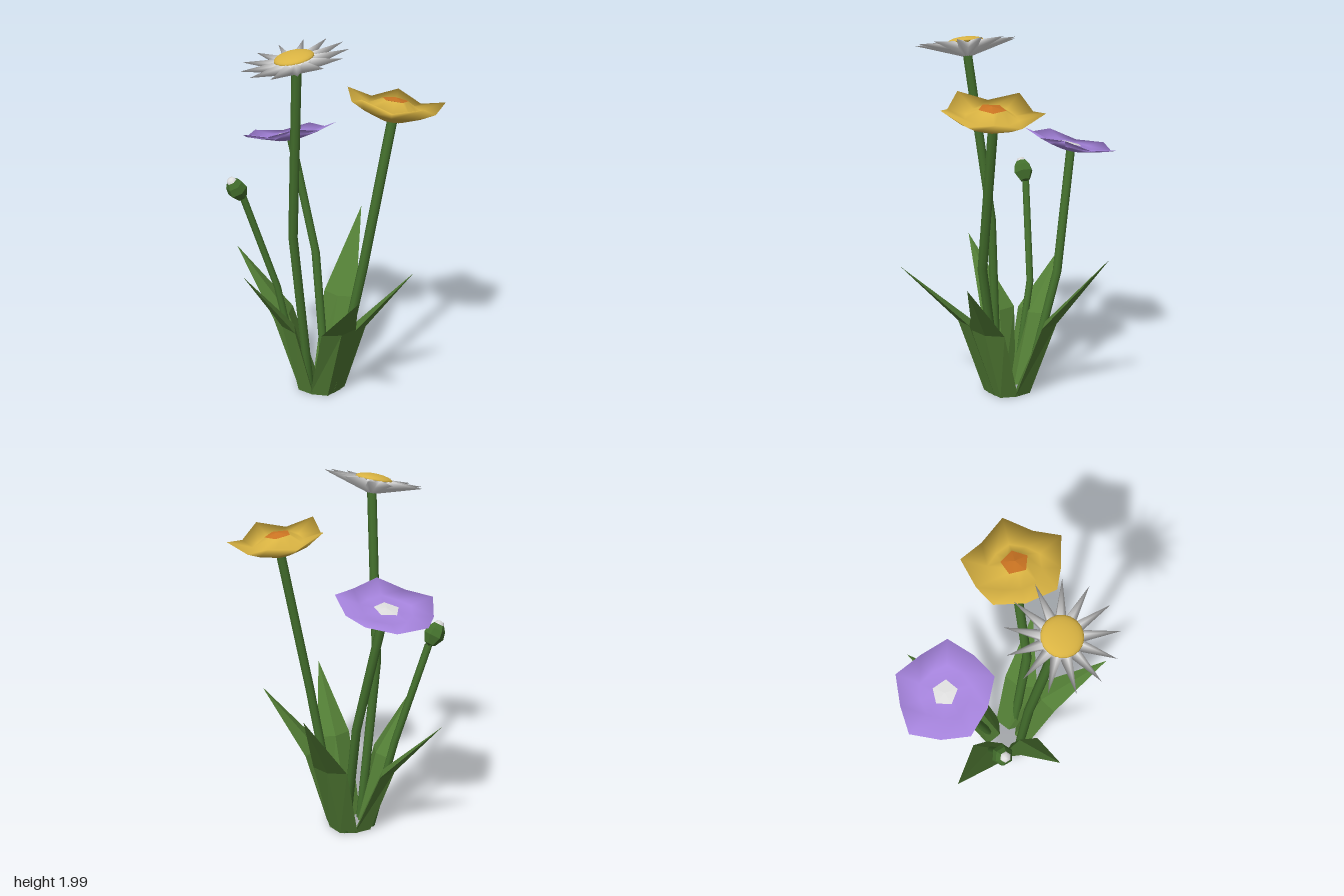
import * as THREE from 'three';

const paint = (name, color, flatShading = false) => {
  const m = new THREE.MeshStandardMaterial({ color, side: THREE.DoubleSide, flatShading });
  m.name = name;
  return m;
};

// Closed surface through rings that all have the same number of points
function loft(rings) {
  const n = rings[0].length, idx = [];
  for (let i = 0; i < rings.length - 1; i++) {
    for (let j = 0; j < n; j++) {
      const k = (j + 1) % n, a = i * n + j, b = i * n + k;
      idx.push(a, a + n, b, b, a + n, b + n);
    }
  }
  const g = new THREE.BufferGeometry();
  g.setAttribute('position', new THREE.Float32BufferAttribute(rings.flat(2), 3));
  g.setIndex(idx);
  g.computeVertexNormals();
  return g;
}

// Ring whose points alternate between a petal tip and the notch beside it
function petalRing(petals, phase, [rTip, yTip, rNotch = rTip, yNotch = yTip]) {
  return Array.from({ length: petals * 2 }, (_, i) => {
    const a = phase + (i * Math.PI) / petals;
    const [r, y] = i % 2 ? [rNotch, yNotch] : [rTip, yTip];
    return [r * Math.cos(a), y, r * Math.sin(a)];
  });
}

export function createModel() {
  const root = new THREE.Group();
  root.name = 'flowerClump';
  const leafGreen = paint('leafGreen', 0x527d35, true);
  const stemGreen = paint('stemGreen', 0x44702d);
  const budGreen = paint('budGreen', 0x44702d, true);
  const white = paint('white', 0xdedede);
  const purple = paint('purple', 0xa583dc);
  const yellow = paint('yellow', 0xd9b342);
  const orange = paint('orange', 0xcb7422);

  const add = (parent, name, geometry, material) => {
    const m = new THREE.Mesh(geometry, material);
    m.name = name;
    parent.add(m);
    return m;
  };

  // Leaves: thick pointed blades, each given by its base angle in degrees, its bend and its tip
  const cx = -0.045, cz = 0.018;
  const leaves = [
    [-36, [0.17, 0.46, -0.14], [0.43, 0.88, -0.35]],
    [42, [0.1, 0.43, 0.2], [0.31, 0.78, 0.4]],
    [102, [-0.07, 0.46, 0.27], [-0.15, 0.79, 0.6]],
    [180, [-0.235, 0.42, 0], [-0.52, 0.8, 0.06]],
    [246, [-0.17, 0.4, -0.19], [-0.32, 0.74, -0.47]],
  ];
  // Diamond cross-section with a ridge on the outer and the inner side
  const diamond = ([x, y, z], angle, half, depth) => {
    const dx = Math.cos(angle), dz = Math.sin(angle);
    return [[depth, 0], [0, half], [-depth, 0], [0, -half]].map(([out, side]) =>
      [x + dx * out - dz * side, y, z + dz * out + dx * side]);
  };
  for (const [degrees, bend, tip] of leaves) {
    const a = (degrees * Math.PI) / 180;
    const base = [cx + Math.cos(a) * 0.095, 0.01, cz + Math.sin(a) * 0.095];
    const bendAngle = Math.atan2(bend[2] - cz, bend[0] - cx);
    add(root, 'leaf', loft([
      diamond(base, a, 0, 0), diamond(base, a, 0.088, 0.045),
      diamond(bend, bendAngle, 0.1, 0.035), diamond(tip, a, 0, 0),
    ]), leafGreen);
  }

  // Stems with one bend
  const stem = (name, radius, points) => add(root, name, loft(points.map(([x, y, z]) =>
    Array.from({ length: 8 }, (_, i) => {
      const t = (i * Math.PI) / 4;
      return [x + radius * Math.cos(t), y, z + radius * Math.sin(t)];
    }))), stemGreen);
  stem('daisyStem', 0.026, [[-0.13, 0.01, 0.05], [-0.22, 0.96, 0.04], [-0.25, 1.89, 0.16]]);
  stem('yellowFlowerStem', 0.027, [[0.01, 0.01, 0.1], [0.1, 0.8, 0.23], [0.262, 1.6, 0.232]]);
  stem('purpleFlowerStem', 0.025, [[0.03, 0.01, -0.06], [0.06, 0.71, -0.23], [-0.03, 1.38, -0.35]]);
  stem('budStem', 0.021, [[-0.13, 0.01, -0.07], [-0.205, 0.57, -0.19], [-0.375, 1.12, -0.24]]);

  // A blossom is one closed petal shell, from its underside over the rim to the middle
  function blossom(name, { petals, phase, shell, heart, petalColor, heartColor, at, tilt }) {
    const g = new THREE.Group();
    g.name = name;
    g.position.set(...at);
    g.rotation.set(...tilt);
    const shape = (rows) => loft(rows.map((r) => petalRing(petals, phase, r)));
    add(g, 'petals', shape(shell), petalColor);
    if (heart) add(g, 'heart', shape(heart), heartColor);
    root.add(g);
    return g;
  }

  // Daisy with thirteen narrow petals and a domed disc
  const daisy = blossom('daisy', {
    petals: 13, phase: 1.51,
    shell: [[0, -0.083], [0.268, 0, 0.105, -0.038], [0.098, 0.003, 0.098, -0.01]],
    petalColor: white, at: [-0.263, 1.944, 0.16], tilt: [0, 0, 0.21],
  });
  const disc = add(daisy, 'disc', new THREE.SphereGeometry(0.1, 20, 6, 0, Math.PI * 2, 0, Math.PI / 2), yellow);
  disc.scale.y = 0.28;

  // Five-sided yellow cup; the heart keeps five straight sides
  const c5 = Math.cos(Math.PI / 5);
  blossom('yellowFlower', {
    petals: 5, phase: Math.PI / 2,
    shell: [[0, -0.125], [0.06, -0.12], [0.16, -0.08, 0.15, -0.085],
      [0.268, 0, 0.224, -0.045],
      [0.14, -0.055, 0.13, -0.06], [0.068, -0.014, 0.068 * c5, -0.014]],
    heart: [[0.072, -0.013, 0.072 * c5, -0.013], [0, 0]],
    petalColor: yellow, heartColor: orange,
    at: [0.27, 1.7, 0.24], tilt: [0, 0, -0.16],
  });

  // Flatter five-sided purple flower
  blossom('purpleFlower', {
    petals: 5, phase: Math.PI,
    shell: [[0, -0.07], [0.06, -0.066], [0.16, -0.04, 0.15, -0.048],
      [0.268, 0, 0.236, -0.025],
      [0.14, -0.03, 0.13, -0.037], [0.064, -0.03, 0.064 * c5, -0.03]],
    heart: [[0.068, -0.029, 0.068 * c5, -0.029], [0, -0.024]],
    petalColor: purple, heartColor: white,
    at: [-0.043, 1.425, -0.36], tilt: [-0.26, 0, 0],
  });

  // Closed bud with a pale tip
  const bud = new THREE.Group();
  bud.name = 'bud';
  bud.position.set(-0.375, 1.11, -0.24);
  bud.rotation.z = 0.52;
  const turned = (pts) => new THREE.LatheGeometry(pts.map(([x, y]) => new THREE.Vector2(x, y)), 6);
  add(bud, 'budCup', turned([[0, 0], [0.03, 0.012], [0.056, 0.06], [0.048, 0.1], [0.028, 0.128]]), budGreen);
  add(bud, 'budTip', turned([[0.029, 0.127], [0.02, 0.143], [0, 0.147]]), white);
  root.add(bud);

  return root;
}
